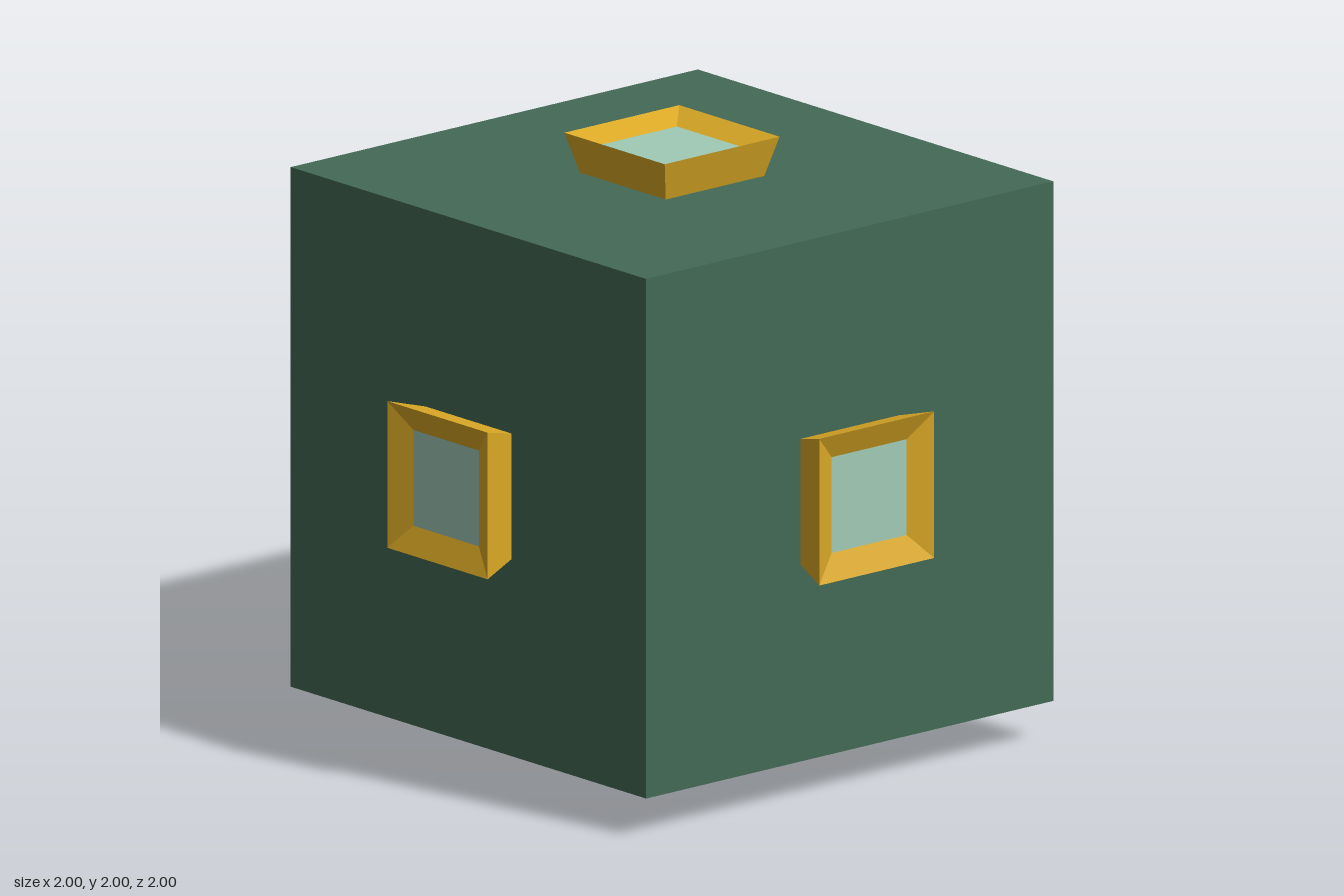
import * as THREE from 'three';

const HALF = 0.868;   // half side of the cube
const RIM = 0.245;    // half width of a frame at its outer edge
const BASE = 0.21;    // half width of a frame where it meets the cube
const PANE = 0.16;    // half width of the recessed panel
const DEPTH = 0.037;  // how far the panel lies below the rim

export function createModel() {
  const model = new THREE.Group();
  model.name = 'framedCube';

  const material = (color) => new THREE.MeshStandardMaterial({ color, flatShading: true });
  const green = material(0x436956);
  const gold = material(0xdaa825);
  const pale = material(0xa0cab6);

  // Cube
  const body = new THREE.Mesh(new THREE.BoxGeometry(HALF * 2, HALF * 2, HALF * 2), green);
  body.name = 'cubeBody';
  body.position.y = 1;
  model.add(body);

  // Square flared frame: outer wall out to a sharp rim, then a bevel inwards to the panel
  const profile = [[BASE, HALF], [RIM, 1], [PANE, 1 - DEPTH]]
    .map(([r, y]) => new THREE.Vector2(r * Math.SQRT2, y));
  const frameGeometry = new THREE.LatheGeometry(profile, 4, Math.PI / 4);

  // Recessed panel
  const paneGeometry = new THREE.PlaneGeometry(PANE * 2, PANE * 2)
    .rotateX(-Math.PI / 2)
    .translate(0, 1 - DEPTH, 0);

  // One window on each face
  const up = new THREE.Vector3(0, 1, 0);
  const faces = {
    top: [0, 1, 0], bottom: [0, -1, 0],
    left: [1, 0, 0], right: [-1, 0, 0],
    front: [0, 0, 1], back: [0, 0, -1],
  };
  for (const [side, direction] of Object.entries(faces)) {
    const window = new THREE.Group();
    window.name = `${side}Window`;
    const frame = new THREE.Mesh(frameGeometry, gold);
    frame.name = `${side}Frame`;
    const pane = new THREE.Mesh(paneGeometry, pale);
    pane.name = `${side}Panel`;
    window.add(frame, pane);
    window.quaternion.setFromUnitVectors(up, new THREE.Vector3(...direction));
    window.position.y = 1;
    model.add(window);
  }

  return model;
}
